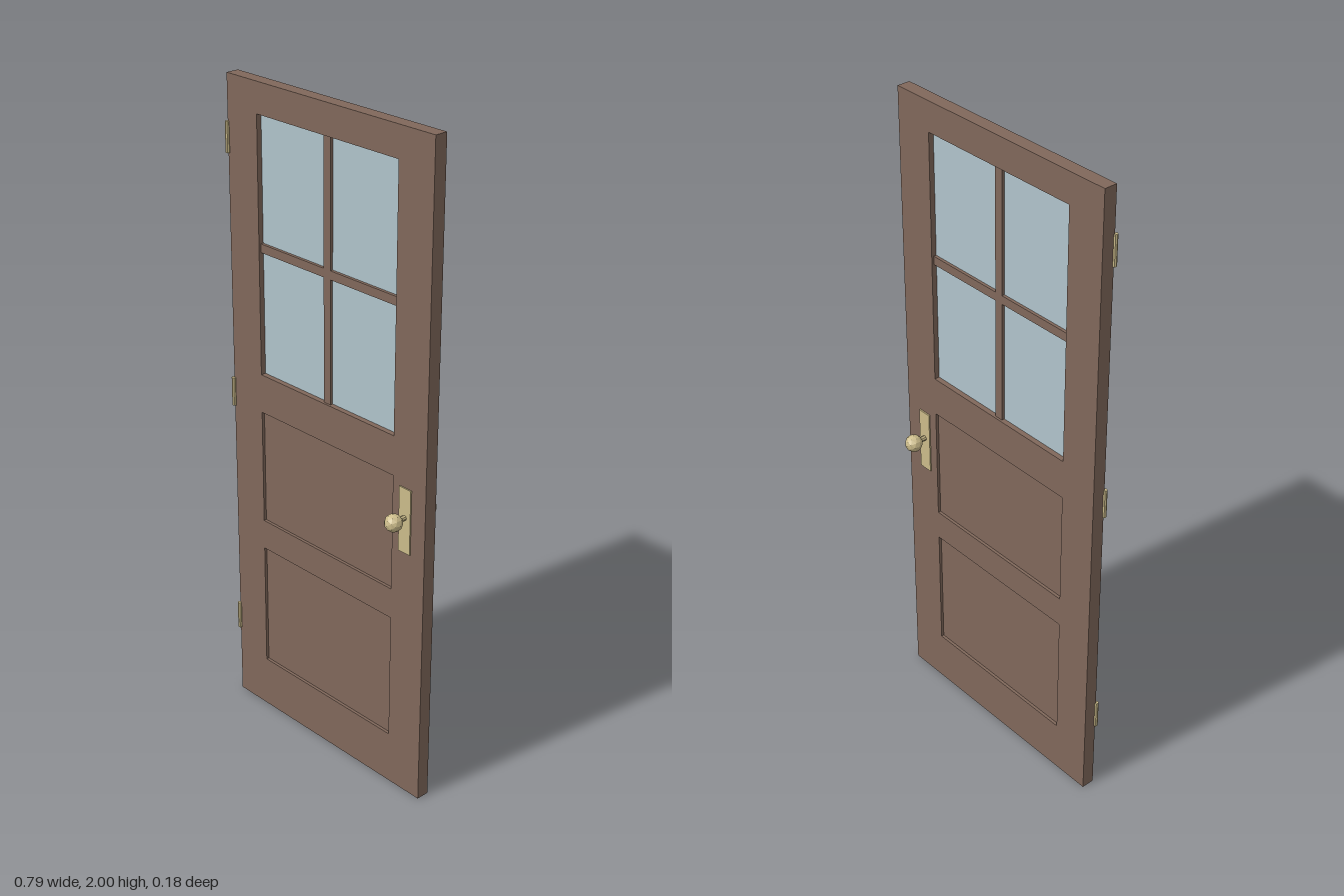
import * as THREE from 'three';

export function createModel() {
  const door = new THREE.Group();
  door.name = 'door';

  const material = (name, color) => {
    const m = new THREE.MeshStandardMaterial({ color });
    m.name = name;
    return m;
  };
  const wood = material('brownWood', 0x80685b);
  const glass = material('paleGlass', 0xb0c3cb);
  const brass = material('brass', 0xcbbb8a);
  brass.flatShading = true;

  const add = (name, geometry, mat, x, y, z, parent = door) => {
    const mesh = new THREE.Mesh(geometry, mat);
    mesh.name = name;
    mesh.position.set(x, y, z);
    parent.add(mesh);
    return mesh;
  };
  const rect = (path, x0, x1, y0, y1) => {
    path.moveTo(x0, y0);
    path.lineTo(x1, y0);
    path.lineTo(x1, y1);
    path.lineTo(x0, y1);
    path.closePath();
    return path;
  };

  const zc = -0.0015, half = 0.02;   // mid-plane and half thickness of the door
  const openX = 0.27;
  const panels = [[0.165, 0.565], [0.66, 1.02]];
  const win = [1.14, 1.91];

  // Frame of stiles and rails with three openings
  const outline = rect(new THREE.Shape(), -0.391, 0.395, 0, 2);
  for (const [y0, y1] of [...panels, win]) outline.holes.push(rect(new THREE.Path(), -openX, openX, y0, y1));
  add('doorFrame', new THREE.ExtrudeGeometry(outline, { depth: 2 * half, bevelEnabled: false }),
    wood, 0, 0, zc - half);

  // Recessed wooden panels
  for (const [y0, y1] of panels) {
    add('recessedPanel', new THREE.BoxGeometry(2 * openX, y1 - y0, 0.022), wood, 0, (y0 + y1) / 2, zc);
  }

  // Window pane with crossing glazing bars
  const winY = (win[0] + win[1]) / 2, winH = win[1] - win[0];
  add('windowGlass', new THREE.BoxGeometry(2 * openX, winH, 0.008), glass, 0, winY, zc);
  add('verticalBar', new THREE.BoxGeometry(0.026, winH, 0.026), wood, 0, winY, zc);
  add('horizontalBar', new THREE.BoxGeometry(2 * openX, 0.026, 0.026), wood, 0, winY, zc);

  // Knob, spindle and plate on both faces
  for (const side of [1, -1]) {
    const handle = new THREE.Group();
    handle.name = side > 0 ? 'frontHandle' : 'backHandle';
    add('handlePlate', new THREE.BoxGeometry(0.044, 0.2, 0.004), brass, 0.32, 0.9, zc + side * (half + 0.002), handle);
    const spindle = add('spindle', new THREE.CylinderGeometry(0.008, 0.008, 0.04, 8), brass,
      0.32, 0.91, zc + side * (half + 0.016), handle);
    spindle.rotation.x = Math.PI / 2;
    add('knob', new THREE.IcosahedronGeometry(0.0265, 1), brass, 0.32, 0.91, zc + side * 0.0655, handle);
    door.add(handle);
  }

  // Three hinge pins along the right edge
  for (const y of [0.275, 1.048, 1.82]) {
    add('hinge', new THREE.CylinderGeometry(0.0065, 0.0065, 0.09, 8), brass, -0.391, y, 0.021);
  }

  return door;
}
